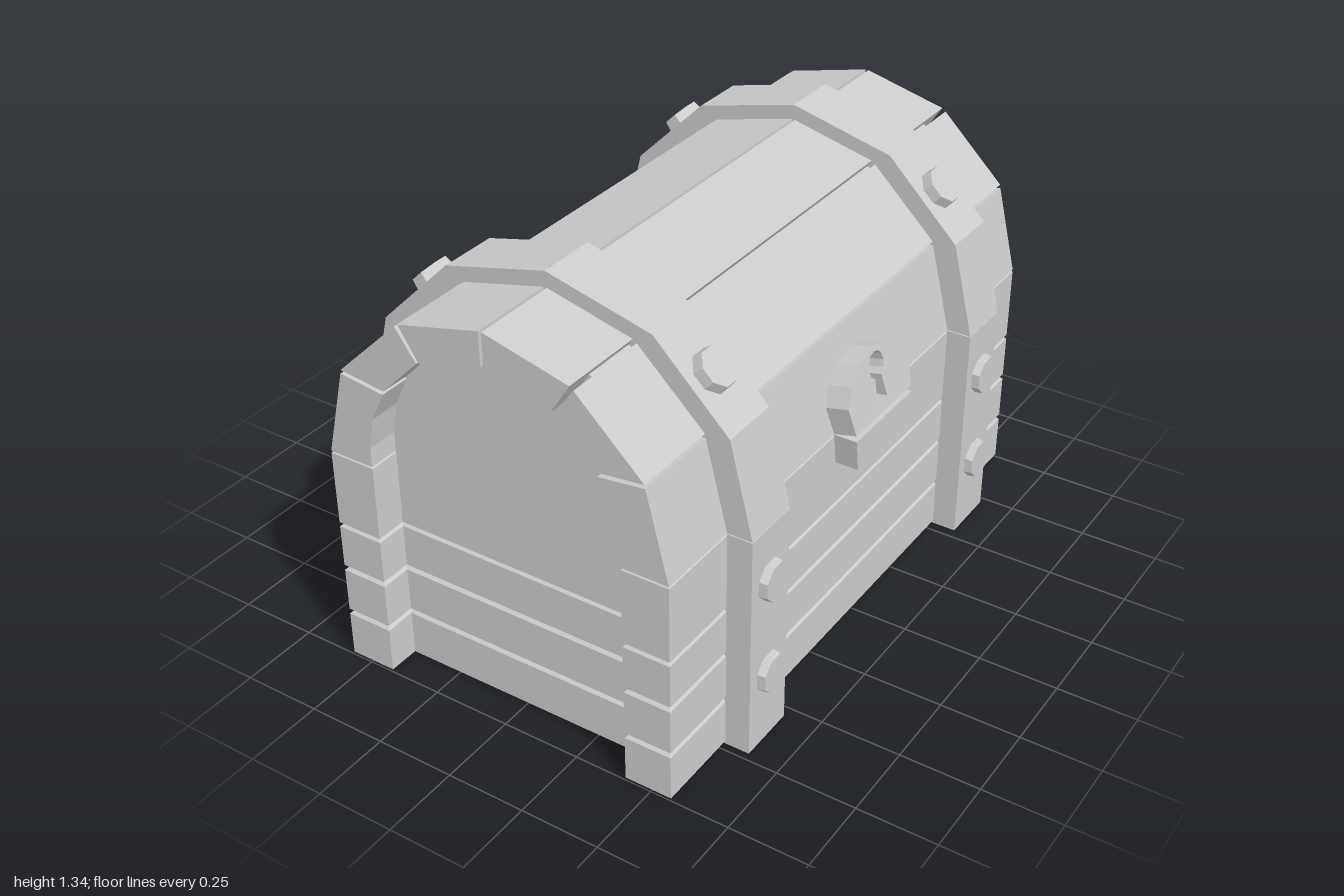
import * as THREE from 'three';

const grey = new THREE.MeshStandardMaterial({ color: 0xcccccc, flatShading: true });
const toShape = (pts) => new THREE.Shape(pts.map(([x, y]) => new THREE.Vector2(x, y)));
const mirrorX = (pts) => pts.map(([x, y]) => [-x, y]).reverse();
// Closes a right-half profile with its mirror image
const bothSides = (pts) => [...pts, ...mirrorX(pts.filter(([x]) => x > 0))];

function add(parent, name, geometry) {
  const mesh = new THREE.Mesh(geometry, grey);
  mesh.name = name;
  parent.add(mesh);
  return mesh;
}

// Straight prism of a shape, running from z0 to z1
function prism(shape, z0, z1) {
  return new THREE.ExtrudeGeometry(shape, { depth: z1 - z0, bevelEnabled: false, curveSegments: 5 })
    .translate(0, 0, z0);
}

export function createModel() {
  const chest = new THREE.Group();
  chest.name = 'chest';

  // Body: stacked bevelled layers with corner posts and recessed ends
  const plan = [
    [0.567, -1], [0.567, 1], [0.417, 1], [0.417, 0.9],
    [-0.417, 0.9], [-0.417, 1], [-0.567, 1], [-0.567, -1],
    [-0.417, -1], [-0.417, -0.9], [0.417, -0.9], [0.417, -1],
  ];
  const levels = [0, 0.162, 0.322, 0.477, 0.727];
  const bevel = 0.009;
  for (let i = 0; i < 4; i++) {
    const top = i === 3;
    const height = levels[i + 1] - levels[i];
    const b = top ? 0.006 : bevel;
    const geometry = new THREE.ExtrudeGeometry(toShape(plan), {
      depth: height - 2 * b, bevelEnabled: true, bevelSegments: 1,
      bevelThickness: b, bevelSize: b, bevelOffset: -b,
    });
    geometry.translate(0, 0, b).rotateX(-Math.PI / 2).translate(0, levels[i], 0);
    add(chest, 'bodyPlankLayer', geometry);
  }

  // Lid core behind the planks, also the arched end panels
  const core = bothSides([[0.54, 0.72], [0.472, 1.0], [0.268, 1.203], [0, 1.27]]);
  add(chest, 'lidCore', prism(toShape(core), -0.9, 0.9));

  // Lid planks with narrow gaps, mirrored left and right
  const planks = [
    [[0.567, 0.728], [0.499, 1.003], [0.352, 0.985], [0.398, 0.89], [0.417, 0.79], [0.417, 0.728]],
    [[0.497, 1.015], [0.288, 1.217], [0.222, 1.125], [0.348, 0.997]],
    [[0.276, 1.226], [0.005, 1.293], [0.005, 1.187], [0.213, 1.127]],
  ];
  for (const plank of planks) {
    for (const points of [plank, mirrorX(plank)]) {
      add(chest, 'lidPlank', prism(toShape(points), -1, 1));
    }
  }

  // Bands: a lower strap on each side and an arch over the lid
  const outer = [[0.645, 0.729], [0.573, 1.023], [0.337, 1.258], [0, 1.342]];
  const inner = [[0.53, 0.729], [0.46, 0.98], [0.26, 1.18], [0, 1.25]];
  const arch = toShape([...bothSides(outer), ...bothSides(inner).reverse()]);
  for (const z of [-0.631, 0.631]) {
    const band = new THREE.Group();
    band.name = 'band';
    chest.add(band);
    add(band, 'lidStrap', prism(arch, z - 0.095, z + 0.095));
    for (const side of [-1, 1]) {
      add(band, 'sideStrap', new THREE.BoxGeometry(0.115, 0.726, 0.19))
        .position.set(side * 0.5875, 0.363, z);

      // Octagonal bolts, two on the side strap and one on the lid
      for (const [x, y, tilt] of [[0.645, 0.235, 0], [0.645, 0.552, 0], [0.462, 1.147, Math.PI / 4]]) {
        const bolt = new THREE.CylinderGeometry(0.06, 0.066, 0.04, 8).rotateY(Math.PI / 8);
        bolt.translate(0, 0.005, 0).rotateZ(tilt - Math.PI / 2);
        if (side < 0) bolt.rotateY(Math.PI);
        add(band, 'bolt', bolt).position.set(side * x, y, z);
      }
    }
  }

  // Lock plate leaning with the lid, pierced by a keyhole
  const plate = toShape(bothSides([
    [0.163, 0], [0.177, 0.09], [0.142, 0.145], [0.08, 0.185], [0, 0.203],
  ]));
  const keyhole = new THREE.Path();
  keyhole.moveTo(-0.028, 0.035);
  keyhole.lineTo(-0.018, 0.11);
  keyhole.absarc(0, 0.145, 0.042, Math.PI * 1.36, Math.PI * 1.64, true);
  keyhole.lineTo(0.028, 0.035);
  plate.holes.push(keyhole);
  const lock = new THREE.Group();
  lock.name = 'lock';
  lock.position.set(0.566, 0.73, 0);
  chest.add(lock);
  add(lock, 'lockPlate', prism(plate, -0.02, 0.074).rotateY(Math.PI / 2)).rotation.z = 0.237;

  // Lower catch of the lock, fixed to the body
  const latch = toShape([[-0.147, -0.105], [0.147, -0.105], [0.163, -0.002], [-0.163, -0.002]]);
  add(lock, 'lockCatch', prism(latch, -0.02, 0.074).rotateY(Math.PI / 2));

  return chest;
}
